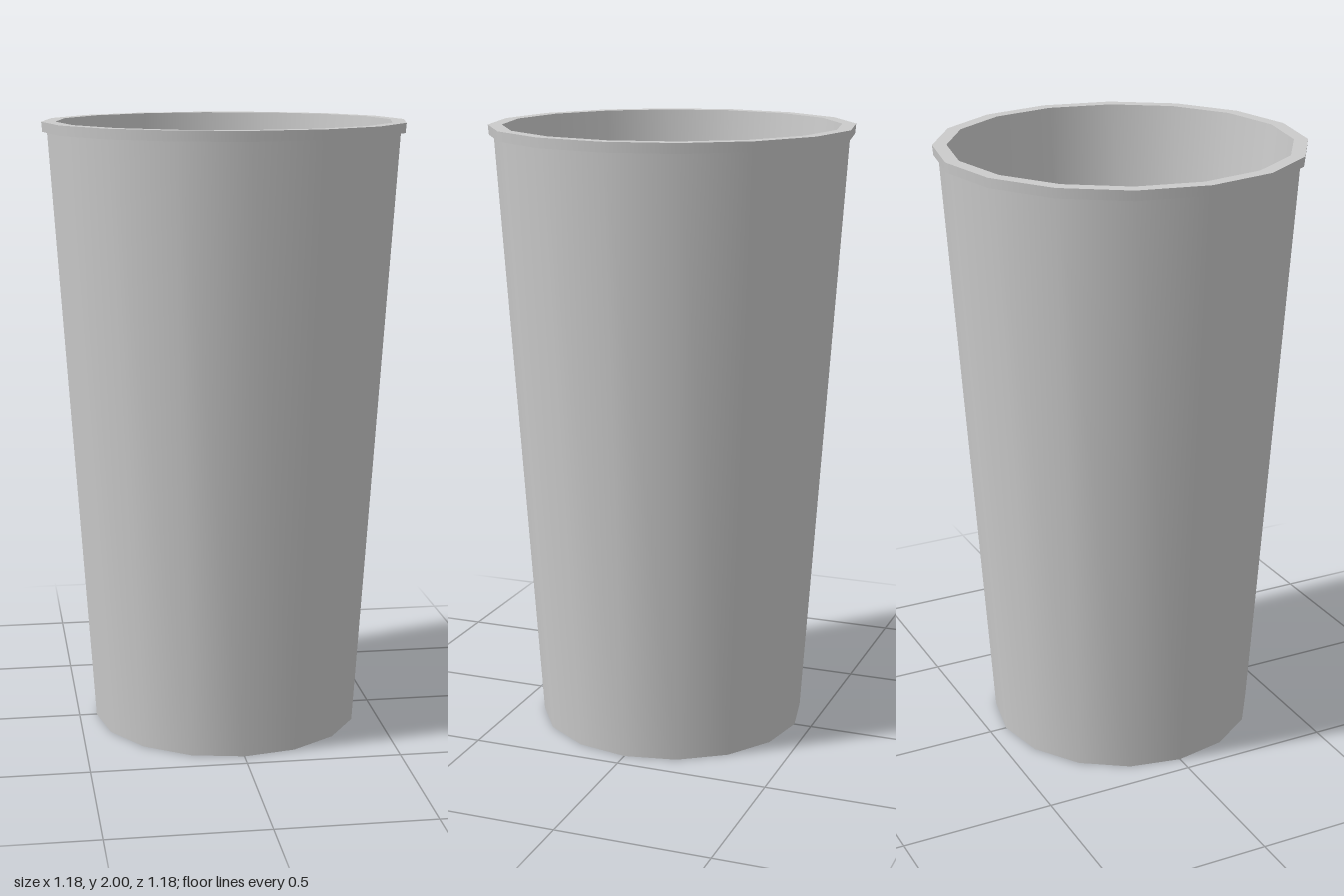
import * as THREE from 'three';

const SIDES = 16;

export function createModel() {
  const cup = new THREE.Group();
  cup.name = 'cup';
  const material = new THREE.MeshStandardMaterial({ color: 0xcccccc });

  // One band of the cup: smooth around the axis, with sharp edges to its neighbours
  const addBand = (name, from, to) => {
    const points = [from, to].map(([r, y]) => new THREE.Vector2(r, y));
    const mesh = new THREE.Mesh(new THREE.LatheGeometry(points, SIDES), material);
    mesh.name = name;
    cup.add(mesh);
  };

  // Profile [radius, height] from the underside, up the outside, over the rim, down to the floor
  const profile = [
    [0, 0], [0.442, 0], [0.572, 1.968], [0.587, 1.968],
    [0.59, 2], [0.545, 2], [0.385, 0.06], [0, 0.06],
  ];
  const names = ['base', 'outerWall', 'rimUnderside', 'rimEdge', 'rimTop', 'innerWall', 'floor'];
  names.forEach((name, i) => addBand(name, profile[i], profile[i + 1]));

  return cup;
}
